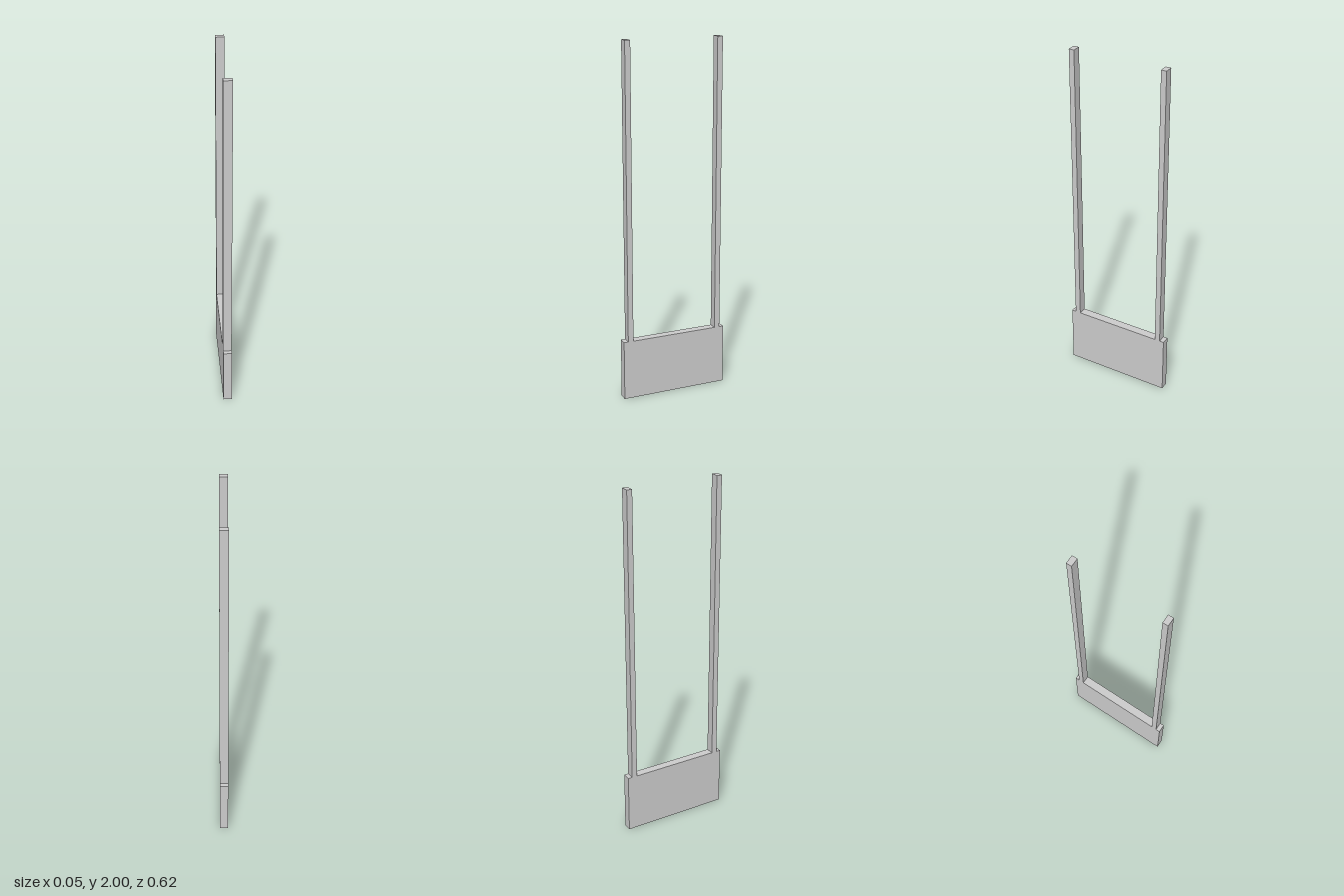
import * as THREE from 'three';

const WIDTH = 0.048;
const BOARD_HEIGHT = 0.34;
const BOARD_LENGTH = 0.616;
const TOTAL_HEIGHT = 2;
const POST_DEPTH = 0.031;
const POST_Z = 0.2675;

export function createModel() {
  const group = new THREE.Group();
  const material = new THREE.MeshStandardMaterial({ color: 0xcccccc, flatShading: true });

  // Box standing on the given height
  const addBox = (name, height, depth, bottom, z) => {
    const mesh = new THREE.Mesh(new THREE.BoxGeometry(WIDTH, height, depth), material);
    mesh.name = name;
    mesh.position.set(0, bottom + height / 2, z);
    group.add(mesh);
  };

  // Solid panel at the bottom
  addBox('basePanel', BOARD_HEIGHT, BOARD_LENGTH, 0, 0);

  // Tall upright posts near both ends of the panel
  for (const side of [1, -1]) {
    addBox(side > 0 ? 'frontPost' : 'backPost', TOTAL_HEIGHT - BOARD_HEIGHT, POST_DEPTH, BOARD_HEIGHT, side * POST_Z);
  }

  return group;
}
